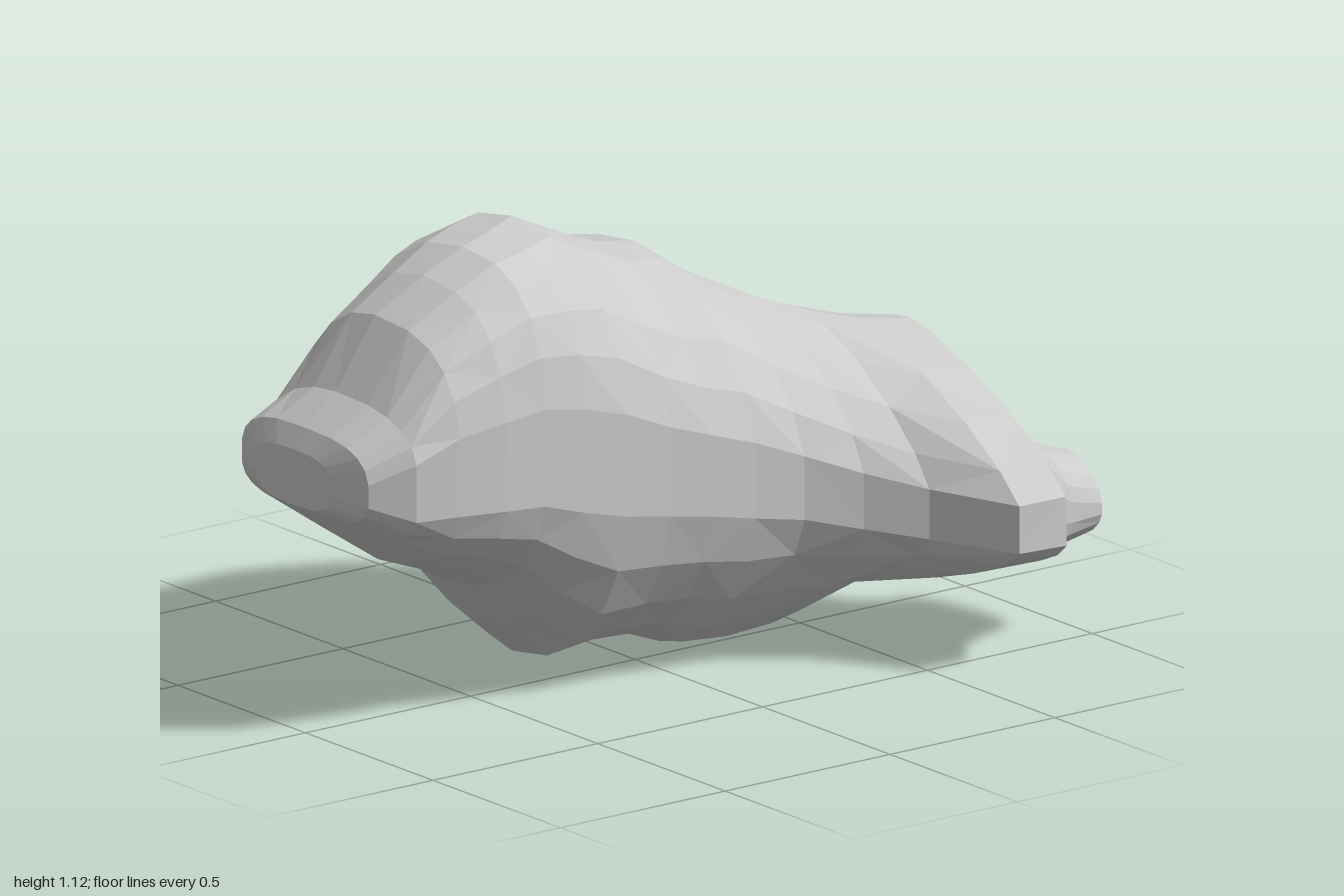
import * as THREE from 'three';

// Cross-sections along x: [x, topY, topZ, bottomY, bottomZ, backZ, backY, frontZ, frontY]
const BODY = [
  [-1, .70, -.05, .56, -.05, -.20, .63, .10, .63],
  [-.97, .75, -.05, .54, -.04, -.29, .63, .21, .63],
  [-.87, .82, -.05, .46, -.04, -.34, .62, .27, .63],
  [-.75, .99, -.05, .38, -.04, -.365, .60, .285, .64],
  [-.62, 1.07, -.03, .33, -.05, -.425, .58, .297, .64],
  [-.5, 1.12, -.03, .27, -.10, -.515, .56, .297, .64],
  [-.38, 1.125, -.08, .14, -.14, -.60, .54, .297, .62],
  [-.25, 1.12, -.16, .03, -.16, -.625, .51, .297, .60],
  [-.12, 1.06, -.16, .05, -.15, -.675, .48, .30, .57],
  [0, 1.01, -.16, .05, -.12, -.72, .46, .312, .54],
  [.12, .99, -.16, .01, -.06, -.645, .50, .322, .50],
  [.25, .90, -.14, 0, -.03, -.585, .57, .347, .46],
  [.38, .835, -.03, .01, -.03, -.45, .57, .412, .42],
];
const SNOUT = [
  [.50, .79, .03, .10, 0, -.315, .55, .515, .39],
  [.62, .76, .08, .14, .14, -.20, .54, .715, .375],
  [.76, .74, .10, .21, .30, -.10, .55, .715, .375],
  [.80, .69, .11, .22, .34, -.03, .52, .655, .37],
  [.83, .53, .30, .225, .38, .10, .40, .615, .36],
  [.88, .475, .38, .225, .40, .20, .34, .575, .34],
  [1, .44, .40, .23, .40, .255, .32, .54, .32],
];
const SECTIONS = [...BODY, ...SNOUT];
const SIDES = 22;

// Fullness of one quarter of a section: 1 is a straight bevel, 2 an ellipse, more is boxy
function fullness(x, up, front) {
  const step = THREE.MathUtils.smoothstep;
  if (x < -0.9) return 3;
  if (x > 0.9) return 1.9;
  if (x > 0.82) return 2.5;
  if (front && up) return 2.7 - 0.9 * step(x, -0.5, 0) - 0.5 * step(x, 0.1, 0.6);
  if (front) return x > 0.7 ? 1.9 : 2.1 - 0.7 * step(x, -0.1, 0.35);
  return up ? 2.05 : 1.65;
}

// One closed ring: four rounded quarters joining front, top, back and bottom
function ring([x, topY, topZ, botY, botZ, backZ, backY, frontZ, frontY]) {
  const points = [];
  // half heights of the upright faces in front and behind
  const frontFacet = x > -0.9 && x < 0.81 ? 0.045 : 0;
  const backFacet = x > 0.1 && x < 0.81 ? 0.065 : 0;
  for (let j = 0; j < SIDES; j++) {
    const a = ((j + 0.5) / SIDES) * Math.PI * 2;
    const c = Math.cos(a), s = Math.sin(a);
    const up = s > 0, front = c > 0;
    const power = fullness(x, up, front);
    const cz = Math.abs(c) ** (2 / power), sy = Math.abs(s) ** (2 / power);
    const midZ = up ? topZ : botZ;
    const midY = (front ? frontY : backY) + (front ? frontFacet : backFacet) * Math.sign(s);
    points.push([
      x,
      midY + ((up ? topY : botY) - midY) * sy,
      midZ + ((front ? frontZ : backZ) - midZ) * cz,
    ]);
  }
  return points;
}

function buildRock() {
  const rings = SECTIONS.map(ring);
  const positions = rings.flat(2);
  const index = [];
  for (let i = 0; i < rings.length - 1; i++) {
    for (let j = 0; j < SIDES; j++) {
      const k = (j + 1) % SIDES;
      const a = i * SIDES + j, b = a + SIDES, c = (i + 1) * SIDES + k, d = i * SIDES + k;
      if ((i + j) % 2) index.push(a, b, c, a, c, d);
      else index.push(a, b, d, b, c, d);
    }
  }
  // flat caps on both ends
  [0, rings.length - 1].forEach((r, end) => {
    const centre = positions.length / 3;
    for (let n = 0; n < 3; n++) {
      positions.push(rings[r].reduce((sum, p) => sum + p[n], 0) / SIDES);
    }
    for (let j = 0; j < SIDES; j++) {
      const a = r * SIDES + j, b = r * SIDES + ((j + 1) % SIDES);
      if (end) index.push(centre, b, a);
      else index.push(centre, a, b);
    }
  });
  const geometry = new THREE.BufferGeometry();
  geometry.setAttribute('position', new THREE.Float32BufferAttribute(positions, 3));
  geometry.setIndex(index);
  geometry.computeVertexNormals();
  return geometry;
}

export function createModel() {
  const group = new THREE.Group();
  group.name = 'asteroid';
  const rock = new THREE.Mesh(
    buildRock(),
    new THREE.MeshStandardMaterial({ color: 0xcccccc, flatShading: true }),
  );
  rock.name = 'rockBody';
  group.add(rock);
  return group;
}
